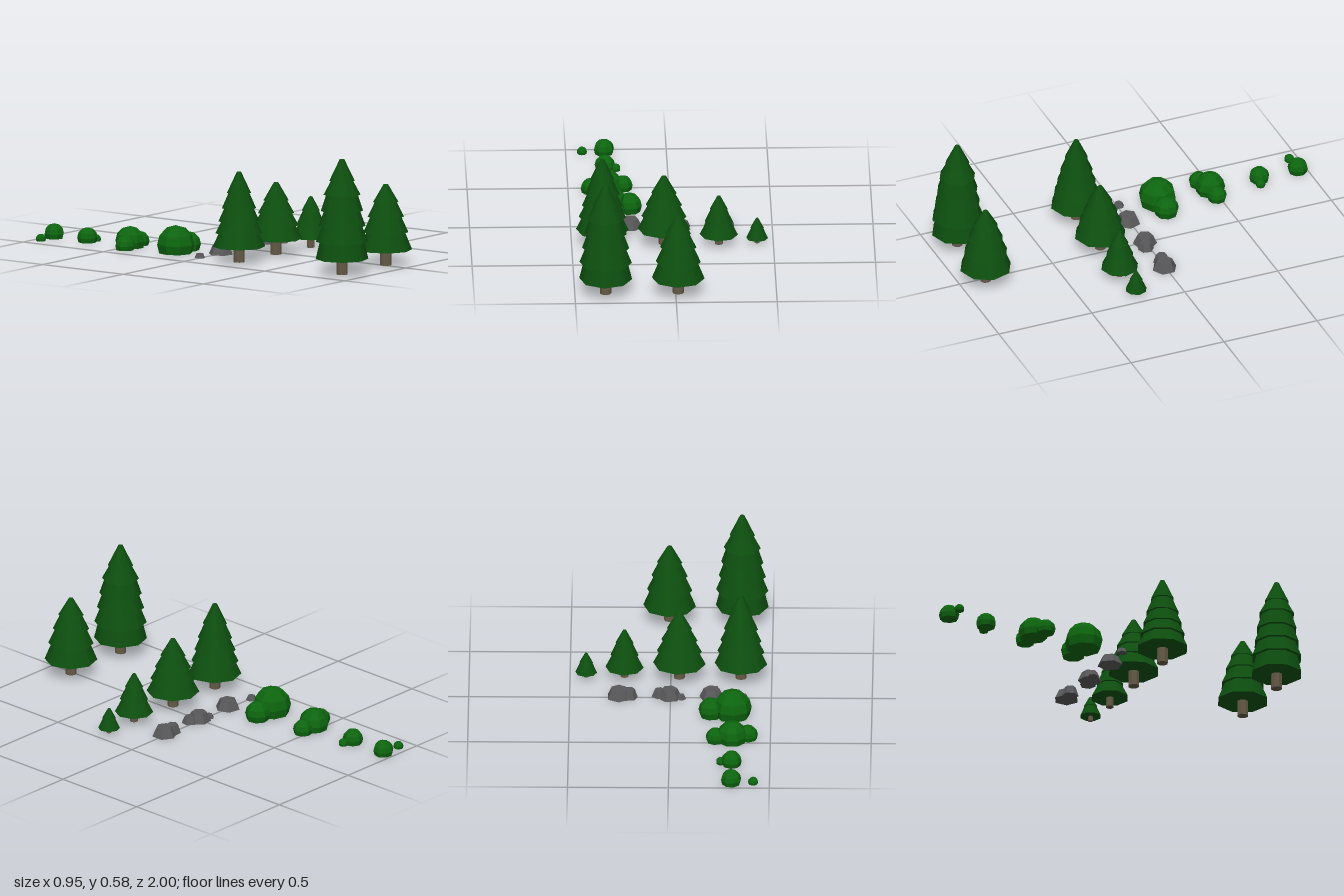
import * as THREE from 'three';

const mat = (color, flatShading) => new THREE.MeshStandardMaterial({ color, flatShading });
const needles = mat(0x0d4f0f, false);
const leaves = mat(0x0d650f, true);
const bark = mat(0x645a46, true);
const stone = mat(0x58585a, true);

function add(parent, name, geometry, material, x = 0, y = 0, z = 0) {
  const mesh = new THREE.Mesh(geometry, material);
  mesh.name = name;
  mesh.position.set(x, y, z);
  parent.add(mesh);
  return mesh;
}

function cluster(parent, name, x, z) {
  const g = new THREE.Group();
  g.name = name;
  g.position.set(x, 0, z);
  parent.add(g);
  return g;
}

// Conifer: stacked frustums; tiers lists [bottom height, bottom radius] upward
function conifer(parent, x, z, height, trunkRadius, tiers) {
  const tree = cluster(parent, 'conifer', x, z);
  const trunkTop = tiers[0][0] + 0.01;
  add(tree, 'trunk', new THREE.CylinderGeometry(trunkRadius, trunkRadius, trunkTop, 8), bark, 0, trunkTop / 2, 0);
  tiers.forEach(([y, r], i) => {
    const last = i === tiers.length - 1;
    const top = last ? height : tiers[i + 1][0] + 0.003;
    const topRadius = last ? r * 0.18 : tiers[i + 1][1] * 0.84;
    const geo = new THREE.CylinderGeometry(topRadius, r, top - y, 8);
    geo.rotateY(Math.PI / 2 - 0.08);
    add(tree, 'branchTier', geo, needles, 0, (y + top) / 2, 0);
  });
}

// Faceted dome, a sphere cut flat a little below its middle
function dome(parent, x, z, r, height, turn) {
  const centre = height - r;
  const low = Math.asin(-centre / r);
  const profile = [new THREE.Vector2(0, 0)];
  for (const a of [low, 0, 0.5, 1.0, Math.PI / 2]) {
    profile.push(new THREE.Vector2(a === Math.PI / 2 ? 0 : r * Math.cos(a), Math.max(0, centre + r * Math.sin(a))));
  }
  add(parent, 'leafDome', new THREE.LatheGeometry(profile, 8), leaves, x, 0, z).rotation.y = turn;
}

// Rock: six-sided frustum
function rock(parent, x, z, r, height, turn) {
  const geo = new THREE.CylinderGeometry(r * 0.65, r, height, 6);
  add(parent, 'rock', geo, stone, x, height / 2, z).rotation.y = turn;
}

export function createModel() {
  const root = new THREE.Group();
  root.name = 'forestSet';

  // Conifers
  const big = 0.028;
  conifer(root, -0.347, 0.866, 0.578, big,
    [[0.078, 0.131], [0.165, 0.13], [0.243, 0.117], [0.319, 0.105], [0.4, 0.092], [0.47, 0.063]]);
  conifer(root, 0.013, 0.866, 0.406, big,
    [[0.078, 0.131], [0.165, 0.112], [0.243, 0.09], [0.317, 0.063]]);
  conifer(root, -0.347, 0.226, 0.452, big,
    [[0.078, 0.131], [0.145, 0.117], [0.205, 0.102], [0.27, 0.085], [0.347, 0.06]]);
  conifer(root, -0.042, 0.226, 0.36, big,
    [[0.078, 0.131], [0.145, 0.112], [0.207, 0.09], [0.27, 0.063]]);
  conifer(root, 0.23, 0.236, 0.255, 0.02,
    [[0.05, 0.095], [0.118, 0.07], [0.185, 0.045]]);
  conifer(root, 0.42, 0.228, 0.131, 0.012,
    [[0.025, 0.054], [0.079, 0.034]]);

  // Bushes: lobes are [x, z, radius, height]
  const bushes = [
    [-0.31, -0.195, [[0, 0, 0.095, 0.139], [0.107, -0.003, 0.063, 0.095]]],
    [-0.31, -0.478, [[0, 0, 0.075, 0.107], [-0.078, 0.028, 0.05, 0.072], [0.082, -0.003, 0.049, 0.072]]],
    [-0.31, -0.743, [[0, 0, 0.051, 0.075], [0.053, 0.015, 0.024, 0.035]]],
    [-0.31, -0.95, [[0, 0, 0.051, 0.075], [-0.109, 0, 0.025, 0.036]]],
  ];
  bushes.forEach(([x, z, lobes], i) => {
    const bush = cluster(root, 'bush', x, z);
    lobes.forEach(([dx, dz, r, h], j) => dome(bush, dx, dz, r, h, 0.3 * i + 0.5 * j + 0.1));
  });

  // Rock piles: stones are [x, z, radius, height]
  const piles = [
    [-0.36, -0.008, [[0, 0, 0.028, 0.022]]],
    [-0.205, 0.007, [[0, 0, 0.063, 0.046]]],
    [0.005, 0.005, [[0, 0, 0.06, 0.046], [-0.058, -0.013, 0.026, 0.02], [0.05, 0.016, 0.041, 0.034]]],
    [0.256, 0.006, [[0, 0, 0.063, 0.047], [-0.052, -0.006, 0.042, 0.046]]],
  ];
  piles.forEach(([x, z, stones], i) => {
    const pile = cluster(root, 'rockPile', x, z);
    stones.forEach(([dx, dz, r, h], j) => rock(pile, dx, dz, r, h, 0.35 * i + 0.6 * j));
  });

  return root;
}
